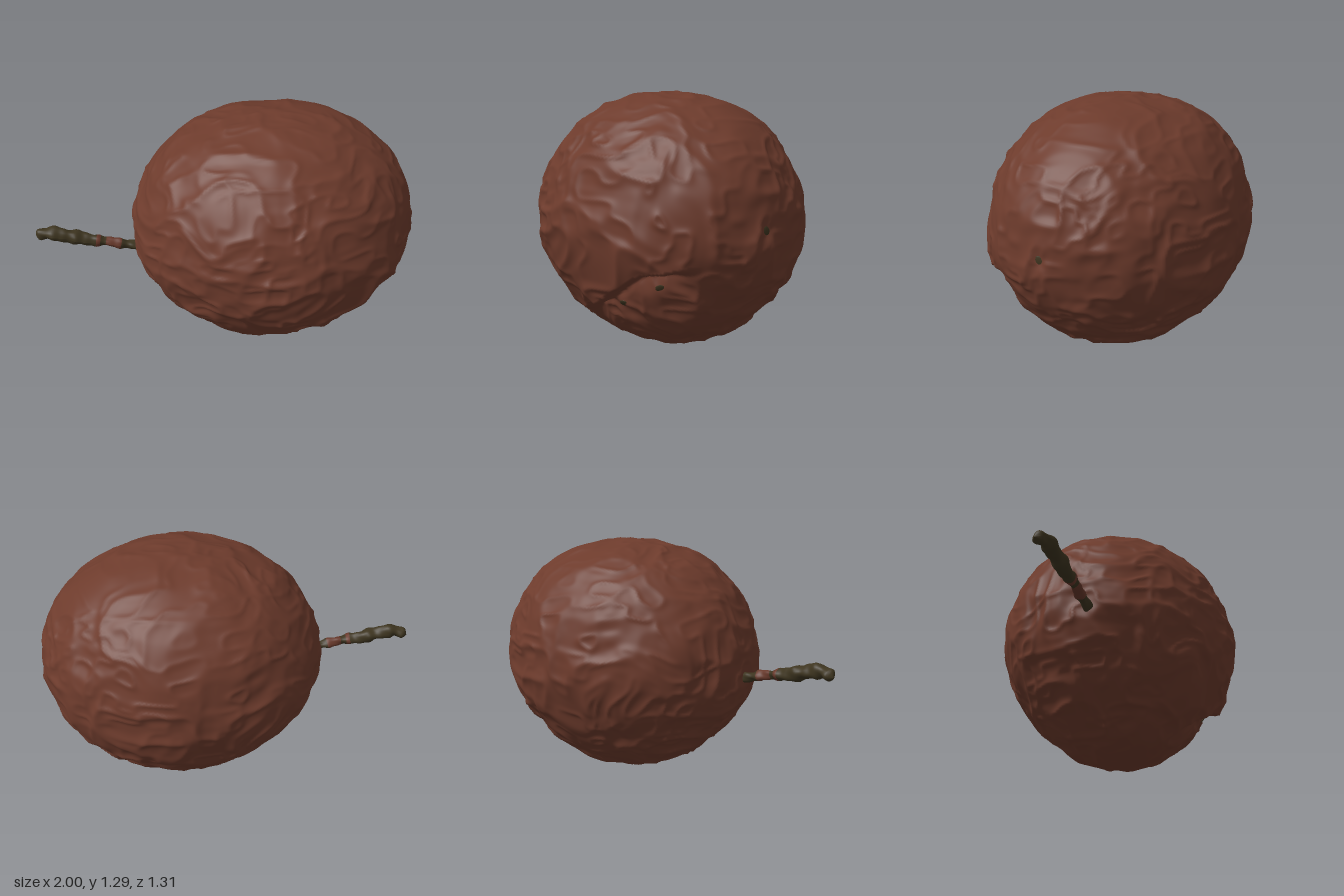
import * as THREE from 'three';
import { mergeVertices } from 'three/addons/utils/BufferGeometryUtils.js';

const skin = new THREE.MeshStandardMaterial({ color: 0x6d3b2c });
const bark = new THREE.MeshStandardMaterial({ color: 0x3e3520 });
const redBark = new THREE.MeshStandardMaterial({ color: 0x67382a });
skin.name = 'wrinkledSkin';
bark.name = 'oliveBark';
redBark.name = 'reddishBark';

// Smooth seeded value noise in -1..1
function hash(x, y, z) {
  let h = Math.imul(x, 374761393) ^ Math.imul(y, 668265263) ^ Math.imul(z, 2147389495);
  h = Math.imul(h ^ (h >>> 13), 1274126177);
  h = Math.imul(h ^ (h >>> 16), 668265263);
  return ((h ^ (h >>> 15)) >>> 0) / 2147483648 - 1;
}
function noise(x, y, z) {
  const i = Math.floor(x), j = Math.floor(y), k = Math.floor(z);
  const s = t => t * t * t * (t * (t * 6 - 15) + 10);
  const u = s(x - i), v = s(y - j), w = s(z - k);
  const L = THREE.MathUtils.lerp;
  const row = (b, c) => L(hash(i, b, c), hash(i + 1, b, c), u);
  return L(L(row(j, k), row(j + 1, k), v), L(row(j, k + 1), row(j + 1, k + 1), v), w);
}
const smooth = THREE.MathUtils.smoothstep;

const CENTRE = new THREE.Vector3(0.245, 0.648, 0);
const RADII = new THREE.Vector3(0.754, 0.642, 0.647);
const PIT = new THREE.Vector3(0.96, 0.68, -0.17);

// Point of the shrivelled surface in direction d
function surface(d) {
  // fuller shoulders on top, narrower below, flattened at two corners
  const xz = 2 * d.x * d.z, yy = d.y * d.y;
  const shape = 1 + 0.024 * Math.sign(d.y) * 4 * yy * (1 - yy) - 0.025 * xz - 0.01 * Math.abs(xz);
  const p = d.clone().multiply(RADII).multiplyScalar(shape);

  // warped ridged noise gives creases between soft bulges
  const wx = p.x + 0.07 * noise(p.x * 4 + 9, p.y * 4, p.z * 4);
  const wy = p.y + 0.07 * noise(p.x * 4, p.y * 4 + 17, p.z * 4);
  const wz = p.z + 0.07 * noise(p.x * 4, p.y * 4, p.z * 4 + 31);
  const ridge = f => {
    const n = noise(wx * f * 0.85 + 5, wy * f * 1.2 + 3, wz * f + 7);
    return 1 - Math.sqrt(n * n + 0.006);
  };
  const lower = 1 - 0.4 * smooth(p.y, -0.1, 0.6);
  let h = 0.006 * noise(p.x * 3 + 2, p.y * 3, p.z * 3)
    + lower * (0.022 * (ridge(6) ** 2 - 0.5) + 0.012 * (ridge(12) ** 2 - 0.5));

  // overhanging fold on the lower front
  const q = p.clone().add(CENTRE);
  const fold = -0.459 * (q.x - 0.2) + 0.888 * (q.y - 0.13) + 0.012 * Math.sin(q.x * 14);
  const mask = smooth(q.z, 0.03, 0.2) * smooth(q.x, 0.15, 0.45) * (1 - smooth(q.x, 0.87, 0.97));
  if (fold < 0.02) h -= mask * 0.095 * (1 - smooth(fold, -0.02, 0.02)) * Math.exp(Math.min(fold, 0) / 0.085);
  else h += mask * 0.015 * Math.exp(-fold / 0.08);

  // small pit at the blossom end
  h -= 0.025 * Math.exp(-q.distanceToSquared(PIT) / 0.0016);
  return q.addScaledVector(d, h);
}

function makeBody() {
  let g = new THREE.IcosahedronGeometry(1, 72);
  g.deleteAttribute('uv');
  g.deleteAttribute('normal');
  g = mergeVertices(g, 1e-5);
  const pos = g.attributes.position, d = new THREE.Vector3();
  for (let i = 0; i < pos.count; i++) {
    const p = surface(d.fromBufferAttribute(pos, i).normalize());
    pos.setXYZ(i, p.x, Math.max(p.y, 0), p.z);
  }
  g.computeVertexNormals();
  const mesh = new THREE.Mesh(g, skin);
  mesh.name = 'fruitBody';
  return mesh;
}

// Knobbly bent stalk with a reddish band near the fruit
function makeStem() {
  const path = new THREE.CatmullRomCurve3([
    [-0.44, 0.59, 0.18], [-0.52, 0.606, 0.184], [-0.62, 0.632, 0.198], [-0.74, 0.655, 0.206],
    [-0.83, 0.68, 0.214], [-0.92, 0.7, 0.22], [-0.999, 0.683, 0.208],
  ].map(a => new THREE.Vector3(...a)));
  const rings = 80, sides = 20;
  const g = new THREE.TubeGeometry(path, rings, 1, sides);
  const pos = g.attributes.position, v = new THREE.Vector3();
  for (let i = 0; i <= rings; i++) {
    const t = i / rings, c = path.getPointAt(t);
    const knob = 0.003 * Math.sin(t * 33) + 0.002 * Math.sin(t * 61 + 1);
    const base = 0.025 + 0.011 * smooth(t, 0.35, 0.6) - 0.006 * smooth(t, 0.8, 0.95);
    const end = Math.sqrt(Math.max(0, 1 - smooth(t, 0.95, 1)));
    for (let j = 0; j <= sides; j++) {
      const n = i * (sides + 1) + j;
      v.fromBufferAttribute(pos, n).sub(c);
      const a = (j % sides) / sides * Math.PI * 2;
      const r = (base + knob + 0.003 * Math.sin(3 * a + t * 25)) * end;
      v.multiplyScalar(r).add(c);
      pos.setXYZ(n, v.x, v.y, v.z);
    }
  }
  g.computeVertexNormals();
  const per = sides * 6;
  [[0, 17, 0], [17, 28, 1], [28, 32, 0], [32, 35, 1], [35, rings, 0]]
    .forEach(([a, b, m]) => g.addGroup(a * per, (b - a) * per, m));
  const mesh = new THREE.Mesh(g, [bark, redBark]);
  mesh.name = 'stem';
  return mesh;
}

// Thin olive speck lying on the skin, facing away from the centre
function makeSpeck(name, at, radius) {
  const d = new THREE.Vector3(...at).sub(CENTRE).divide(RADII).normalize();
  const normal = d.clone().divide(RADII).normalize();
  const g = new THREE.SphereGeometry(1, 10, 6);
  g.scale(radius, radius * 0.8, 0.0045);
  const mesh = new THREE.Mesh(g, bark);
  mesh.position.copy(surface(d));
  mesh.quaternion.setFromUnitVectors(new THREE.Vector3(0, 0, 1), normal);
  mesh.name = name;
  return mesh;
}

export function createModel() {
  const group = new THREE.Group();
  group.name = 'driedFruit';
  group.add(makeBody(), makeStem());
  group.add(makeSpeck('blossomScar', [0.96, 0.68, -0.17], 0.03));
  group.add(makeSpeck('foldSpeckInner', [0.63, 0.255, 0.41], 0.024));
  group.add(makeSpeck('foldSpeckOuter', [0.86, 0.385, 0.29], 0.024));
  return group;
}
